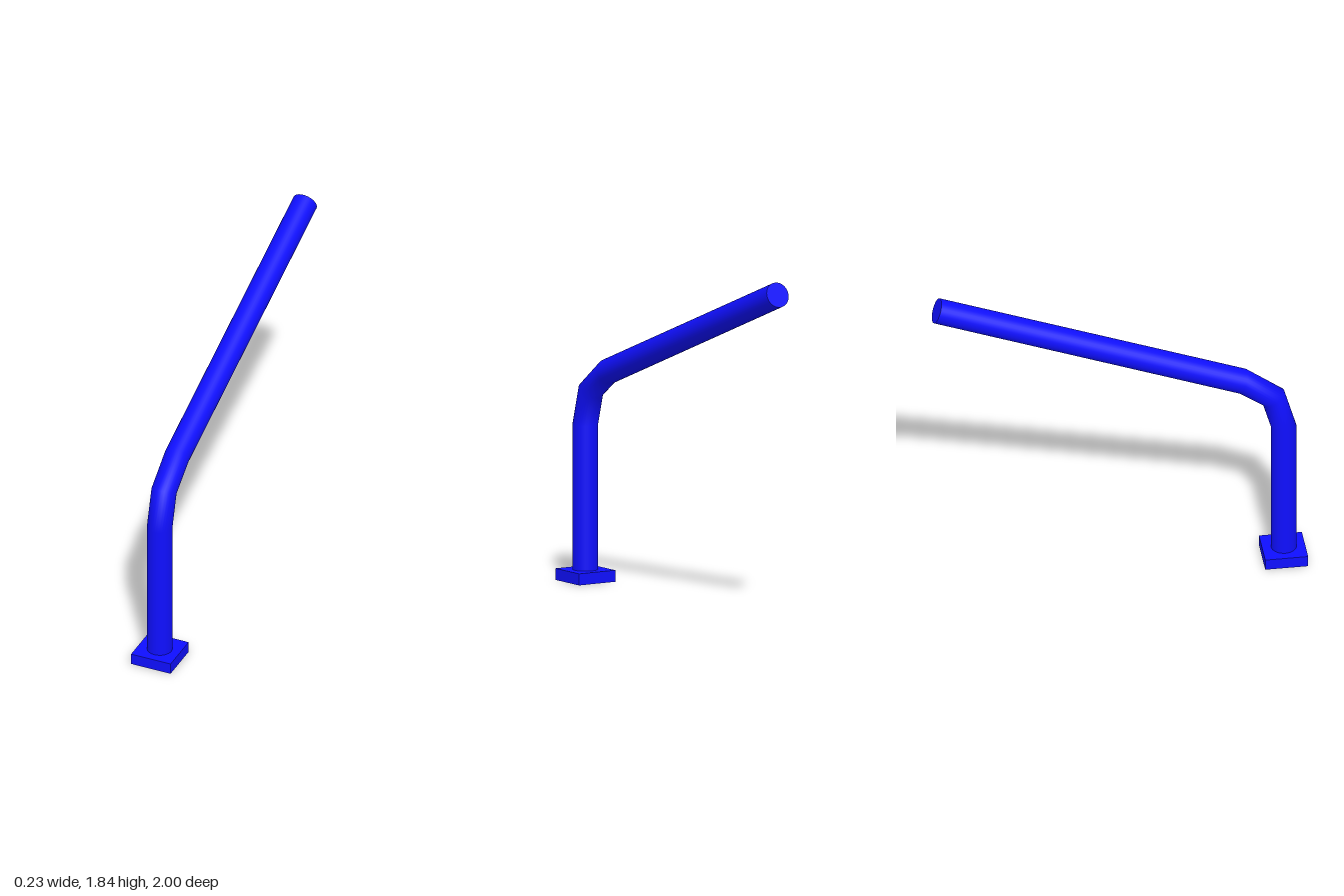
import * as THREE from 'three';

const material = new THREE.MeshStandardMaterial({ color: 0x0f0fff });

// Bent tube: a cylinder whose rings are moved and tilted onto stations [y, z, tilt in degrees]
function bentTube(radius, stations) {
  const rows = stations.length - 1;
  const geometry = new THREE.CylinderGeometry(radius, radius, 1, 32, rows);
  const { position, normal } = geometry.attributes;
  const axis = new THREE.Vector3(1, 0, 0);
  const p = new THREE.Vector3();
  const n = new THREE.Vector3();
  for (let i = 0; i < position.count; i++) {
    p.fromBufferAttribute(position, i);
    n.fromBufferAttribute(normal, i);
    const [y, z, tilt] = stations[Math.round((p.y + 0.5) * rows)];
    const angle = -THREE.MathUtils.degToRad(tilt);
    p.setY(0).applyAxisAngle(axis, angle);
    n.applyAxisAngle(axis, angle);
    position.setXYZ(i, p.x, p.y + y, p.z + z);
    normal.setXYZ(i, n.x, n.y, n.z);
  }
  return geometry;
}

export function createModel() {
  const model = new THREE.Group();
  model.name = 'bentPost';

  // Square foot plate
  const base = new THREE.Mesh(new THREE.BoxGeometry(0.23, 0.062, 0.23), material);
  base.name = 'basePlate';
  base.position.set(0, 0.031, 0.885);
  model.add(base);

  // Upright post, two-step bend and long sloping arm in one tube
  const tube = new THREE.Mesh(bentTube(0.068, [
    [0.03, 0.886, 0],
    [0.84, 0.886, 0],
    [1.032, 0.831, 31],
    [1.152, 0.667, 69],
    [1.776, -0.975, 69.2],
  ]), material);
  tube.name = 'bentTube';
  model.add(tube);

  return model;
}
